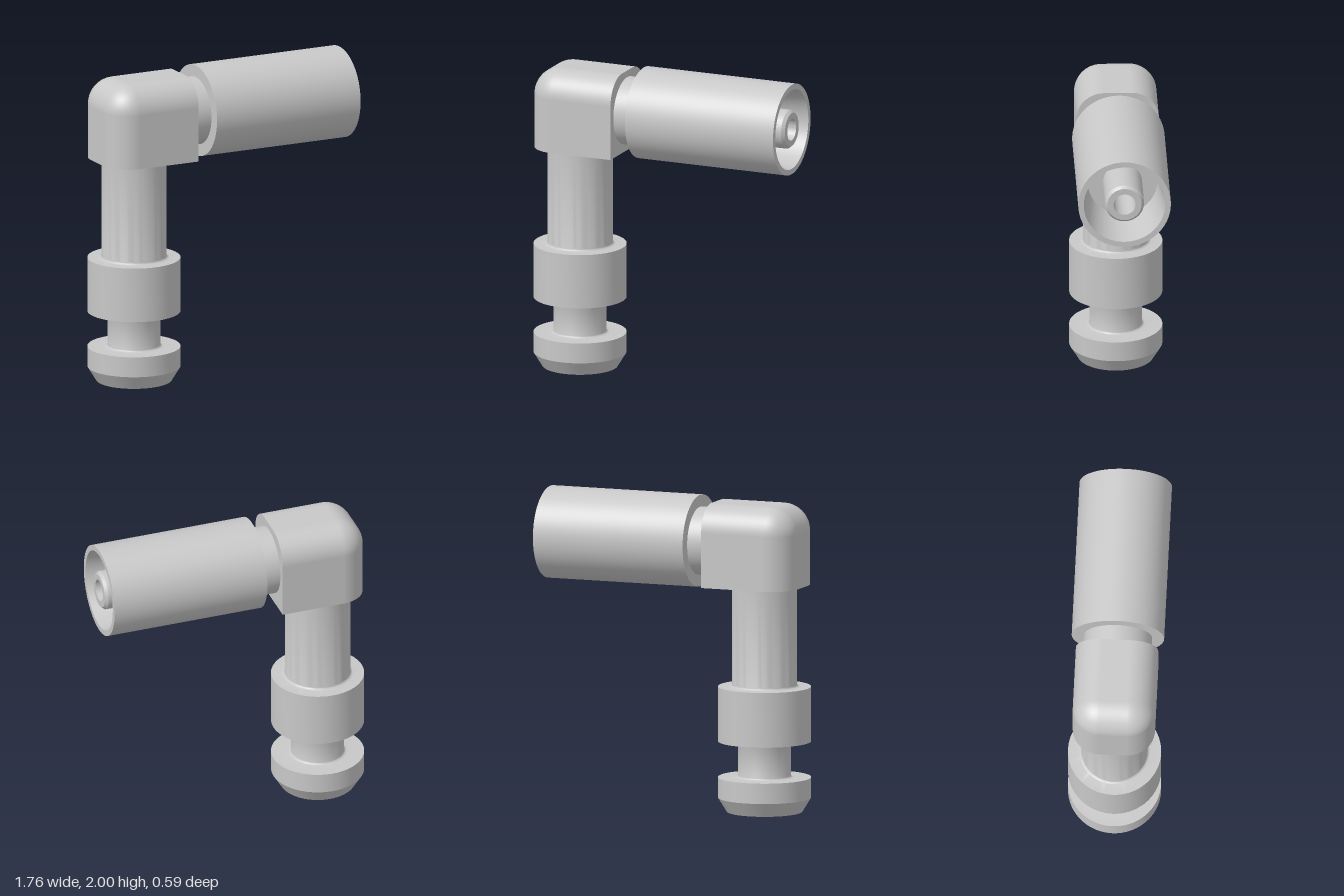
import * as THREE from 'three';
import { toCreasedNormals } from 'three/addons/utils/BufferGeometryUtils.js';

const STEM_X = -0.585, BARREL_Y = 1.707;

// Turned part with sharp shoulders and smooth rounds
function turned(points) {
  const pts = points.map(([r, h]) => new THREE.Vector2(r, h));
  return toCreasedNormals(new THREE.LatheGeometry(pts, 72), 0.5);
}

// Quarter-round fillet: list of [radius, height] around a centre
function fillet(cr, ch, r, a0, a1) {
  return Array.from({ length: 6 }, (_, i) => {
    const a = a0 + (a1 - a0) * i / 5;
    return [cr + r * Math.cos(a), ch + r * Math.sin(a)];
  });
}

// Block rounded on its top and outer end; flat below and at the barrel end.
// The two flat faces are left open around the bores.
function elbowGeometry() {
  const half = 0.261, r = 0.174, x0 = -0.846, x1 = -0.259, y0 = 1.445, y1 = 1.967;
  const geo = new THREE.BoxGeometry(x1 - x0, y1 - y0, 2 * half, 27, 24, 24);
  geo.translate((x0 + x1) / 2, (y0 + y1) / 2, 0);
  const pos = geo.attributes.position, nor = geo.attributes.normal;
  const lo = new THREE.Vector3(x0 + r, y0, -half + r);
  const hi = new THREE.Vector3(x1, y1 - r, half - r);
  const p = new THREE.Vector3(), q = new THREE.Vector3(), d = new THREE.Vector3();
  for (let i = 0; i < pos.count; i++) {
    p.fromBufferAttribute(pos, i);
    q.copy(p).clamp(lo, hi);
    d.subVectors(p, q);
    const reach = Math.max(Math.abs(d.x), Math.abs(d.y), Math.abs(d.z));
    if (reach < 1e-6) continue;
    d.normalize();
    p.copy(q).addScaledVector(d, reach);
    pos.setXYZ(i, p.x, p.y, p.z);
    const flat = nor.getX(i) > 0.9 || nor.getY(i) < -0.9;
    if (!flat) nor.setXYZ(i, d.x, d.y, d.z);
  }
  const kept = [], idx = geo.index.array;
  for (let i = 0; i < idx.length; i += 3) {
    const tri = [idx[i], idx[i + 1], idx[i + 2]];
    p.set(0, 0, 0);
    tri.forEach(k => p.add(q.fromBufferAttribute(pos, k)));
    p.divideScalar(3);
    const endHole = nor.getX(tri[0]) > 0.99 && p.x > x1 - 1e-4 && Math.hypot(p.y - BARREL_Y, p.z) < 0.15;
    const baseHole = nor.getY(tri[0]) < -0.99 && p.y < y0 + 1e-4 && Math.hypot(p.x - STEM_X, p.z) < 0.15;
    if (!endHole && !baseHole) kept.push(...tri);
  }
  geo.setIndex(kept);
  geo.clearGroups();
  return geo;
}

export function createModel() {
  const model = new THREE.Group();
  const metal = new THREE.MeshStandardMaterial({ color: 0xc8c8c8 });
  metal.name = 'light grey metal';
  const add = (name, geo) => {
    const mesh = new THREE.Mesh(geo, metal);
    mesh.name = name;
    model.add(mesh);
    return mesh;
  };

  // Upright stem: bore, chamfered foot flange, groove, collar and shaft
  const P = Math.PI, f = 0.018, groove = 0.167;
  const stem = add('stem', turned([
    [0, 1.79], [0.1, 1.73], [0.1, 0],
    [0.24, 0], [0.295, 0.09], [0.295, 0.22],
    ...fillet(groove + f, 0.22 + f, f, 1.5 * P, P),
    ...fillet(groove + f, 0.45 - f, f, P, 0.5 * P),
    [0.295, 0.45], [0.295, 0.8],
    ...fillet(0.207 + f, 0.8 + f, f, 1.5 * P, P),
    [0.207, 1.45],
  ]));
  stem.position.x = STEM_X;

  // Elbow block
  add('elbow', elbowGeometry());

  // Side barrel: neck, sleeve, tapered socket and hollow centre pin
  const barrel = add('barrel', turned([
    [0.217, -0.265], [0.217, -0.145], [0.293, -0.145], [0.293, 0.88],
    [0.258, 0.88], [0.22, 0.53], [0.124, 0.53],
    [0.124, 0.86], [0.108, 0.88], [0.07, 0.88], [0.07, -0.51],
  ]));
  barrel.rotation.z = -P / 2;
  barrel.position.y = BARREL_Y;

  return model;
}
